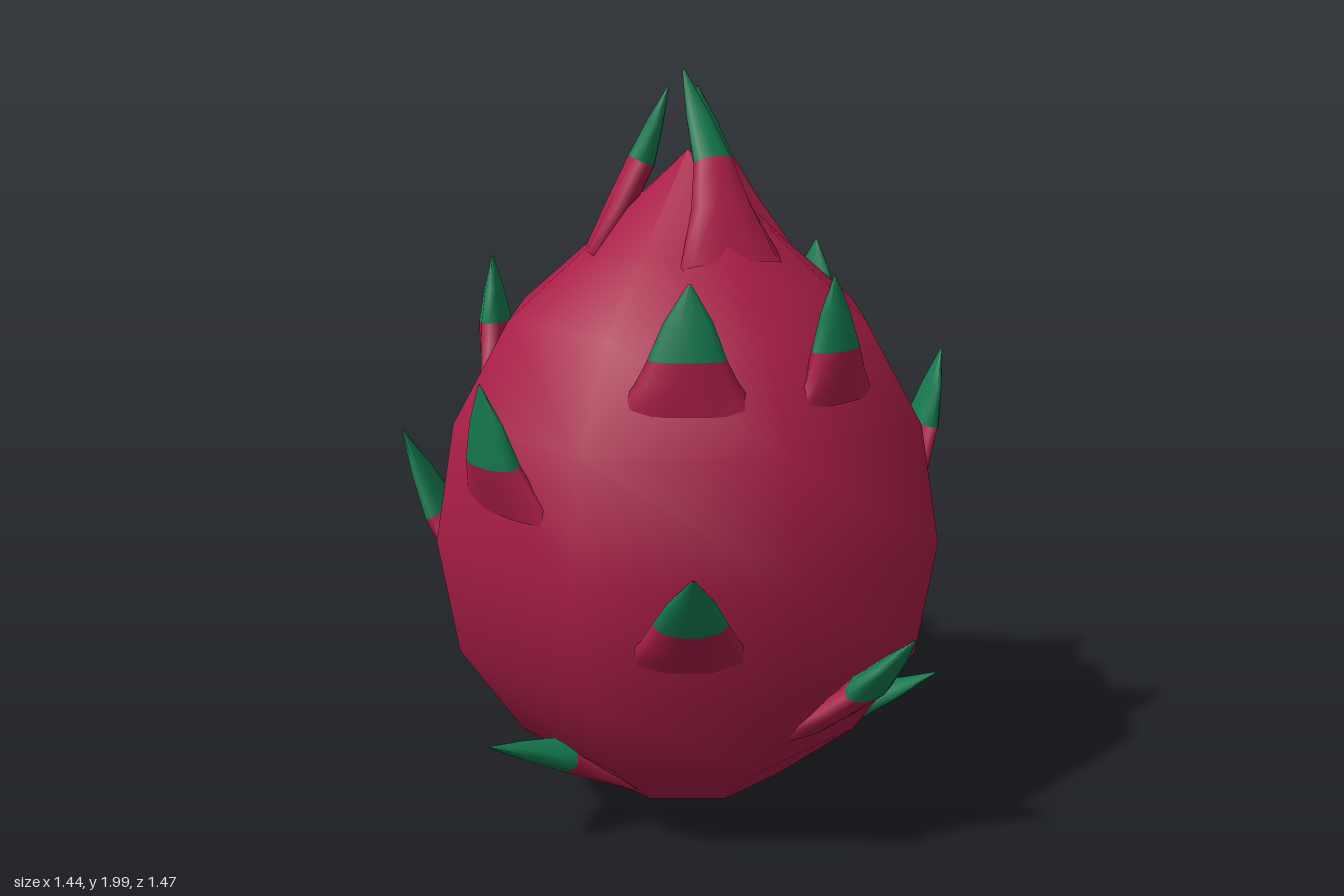
import * as THREE from 'three';

const skin = new THREE.MeshStandardMaterial({ color: 0xa81d46, side: THREE.DoubleSide });
const green = new THREE.MeshStandardMaterial({ color: 0x14794e, side: THREE.DoubleSide });

// Body profile: radius, height
const PROFILE = [[0, 0.01], [0.27, 0.07], [0.49, 0.25], [0.655, 0.5], [0.705, 0.81],
  [0.65, 1.12], [0.495, 1.38], [0.3, 1.54], [0, 1.8]];
const SIDES = 8, Z_SHIFT = -0.015;

// Point on the eight-sided body at an azimuth and height, pushed out by some amount
function onBody(az, y, out) {
  let i = 1;
  while (i < PROFILE.length - 1 && PROFILE[i][1] < y) i++;
  const [r0, y0] = PROFILE[i - 1], [r1, y1] = PROFILE[i];
  const r = r0 + (r1 - r0) * (y - y0) / (y1 - y0);
  const step = 2 * Math.PI / SIDES;
  const off = az - (Math.floor(az / step) + 0.5) * step;
  const d = r * Math.cos(step / 2) / Math.cos(off) + out;
  return new THREE.Vector3(Math.sin(az) * d, y, Math.cos(az) * d + Z_SHIFT);
}

// Skin through oval sections {c: centre, w: half width, t: half thickness}
function loft(sections, outward, axis) {
  const N = 10, pos = [], idx = [];
  const side = new THREE.Vector3(outward.z, 0, -outward.x).normalize();
  const depth = side.clone().cross(axis).normalize();
  sections.forEach(({ c, w, t }, i) => {
    for (let j = 0; j < N; j++) {
      const a = j / N * Math.PI * 2;
      const p = c.clone().addScaledVector(side, Math.cos(a) * w).addScaledVector(depth, Math.sin(a) * t);
      pos.push(p.x, p.y, p.z);
      if (i === 0) continue;
      const k = (j + 1) % N, p0 = (i - 1) * N, q0 = i * N;
      idx.push(p0 + j, q0 + j, p0 + k, p0 + k, q0 + j, q0 + k);
    }
  });
  const g = new THREE.BufferGeometry();
  g.setAttribute('position', new THREE.Float32BufferAttribute(pos, 3));
  g.setIndex(idx);
  g.computeVertexNormals();
  return g;
}

// Scale: flared skin-coloured base and a green pointed tip
function makeScale(name, root, mid, tip, rootW, midW, thick) {
  const group = new THREE.Group();
  group.name = name;
  const outward = new THREE.Vector3(root.x, 0, root.z);
  const axis = tip.clone().sub(root).normalize();
  const sMid = { c: mid, w: midW, t: thick };
  const base = new THREE.Mesh(loft([
    { c: root, w: rootW, t: thick * 0.9 },
    { c: root.clone().lerp(mid, 0.55), w: rootW * 0.35 + midW * 0.65, t: thick },
    sMid], outward, axis), skin);
  base.name = 'scaleBase';
  const point = new THREE.Mesh(loft([
    sMid,
    { c: mid.clone().lerp(tip, 0.5), w: midW * 0.62, t: thick * 0.6 },
    { c: tip, w: 0.004, t: 0.002 }], outward, axis), green);
  point.name = 'scaleTip';
  group.add(base, point);
  return group;
}

export function createModel() {
  const model = new THREE.Group();
  model.name = 'scalyFruit';

  const body = new THREE.Mesh(
    new THREE.LatheGeometry(PROFILE.map(([r, y]) => new THREE.Vector2(r, y)), SIDES), skin);
  body.name = 'body';
  body.position.z = Z_SHIFT;
  model.add(body);

  // Side scales: tip x, y, z, height of green edge, half width, lift, mirrored
  const scales = [
    [0.48, 1.52, -0.215, 1.35, 0.09, 0.045, true],
    [0.64, 1.27, 0.23, 1.07, 0.105, 0.035, true],
    [0.72, 1.04, -0.32, 0.82, 0.11, 0.04, true],
    [0.65, 0.335, 0.25, 0.235, 0.08, 0.03, true],
    [-0.19, 1.52, 0.465, 1.34, 0.095, 0.04, false],
    [0.19, 1.52, 0.465, 1.34, 0.08, 0.04, false],
    [-0.29, 0.89, 0.735, 0.74, 0.09, 0.04, false],
    [0.32, 0.64, 0.69, 0.48, 0.1, 0.04, false],
    [0.28, 1.3, -0.64, 1.09, 0.11, 0.04, false],
    [-0.23, 1.33, -0.62, 1.12, 0.1, 0.04, false],
    [-0.33, 0.59, -0.73, 0.47, 0.09, 0.035, false],
    [0.25, 0.335, -0.65, 0.235, 0.08, 0.03, false],
  ];
  for (const [x, y, z, edgeY, w, lift, mirrored] of scales) {
    for (const s of mirrored ? [1, -1] : [1]) {
      const az = Math.atan2(s * x, z);
      const drop = Math.min(0.13, edgeY * 0.4);
      model.add(makeScale('scale', onBody(az, edgeY - drop, -0.03), onBody(az, edgeY, lift),
        new THREE.Vector3(s * x, y, z), w * 1.9, w, 0.04));
    }
  }

  // Crown: three spikes leaning together
  const crown = [
    [[0.02, 1.52, 0.24], [0.035, 1.77, 0.07], [0, 2, -0.045]],
    [[0.22, 1.54, -0.1], [0.105, 1.77, -0.08], [0.04, 1.96, -0.05]],
    [[-0.22, 1.54, -0.1], [-0.105, 1.77, -0.08], [-0.04, 1.96, -0.05]],
  ];
  for (const pts of crown) {
    const [root, mid, tip] = pts.map(p => new THREE.Vector3(...p));
    model.add(makeScale('crownSpike', root, mid, tip, 0.15, 0.055, 0.038));
  }
  return model;
}
